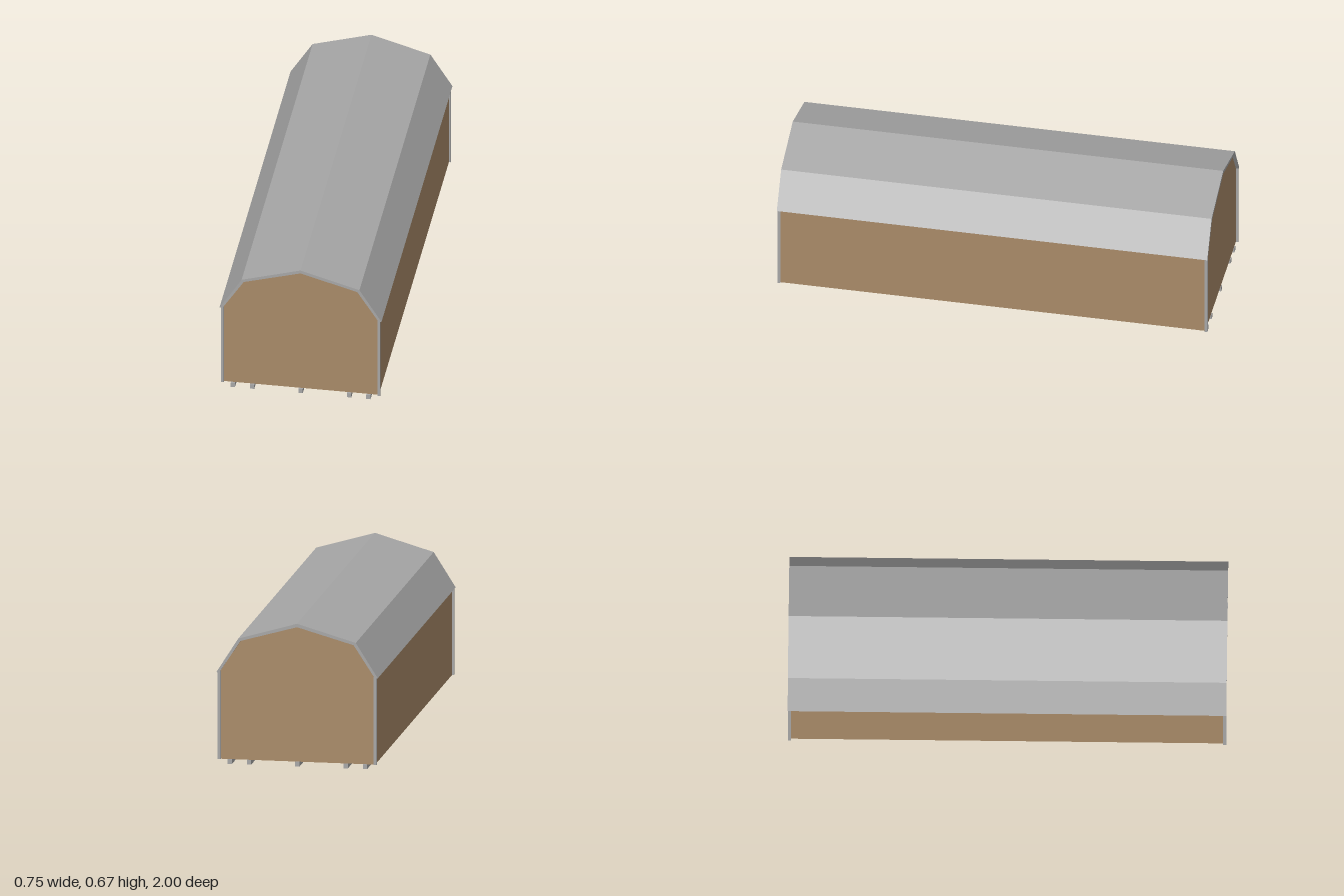
import * as THREE from 'three';

const SILL = 0.022; // wall base, on top of the skids
const WALL_X = 0.36, WALL_Z = 0.988;

export function createModel() {
  const siding = new THREE.MeshStandardMaterial({ color: 0xa88a68, side: THREE.DoubleSide });
  siding.name = 'tan siding';
  const metal = new THREE.MeshStandardMaterial({ color: 0xa6a6a6 });
  metal.name = 'grey metal';

  const model = new THREE.Group();
  model.name = 'gambrelShed';
  const add = (name, geometry, material, x = 0, y = 0, z = 0) => {
    const mesh = new THREE.Mesh(geometry, material);
    mesh.name = name;
    mesh.position.set(x, y, z);
    model.add(mesh);
    return mesh;
  };
  const shapeOf = (points) => new THREE.Shape(points.map(([x, y]) => new THREE.Vector2(x, y)));
  const mirrorX = (points) => points.map(([x, y]) => [-x, y]).reverse();

  // Gambrel roof: a bent shell, from right eave over the ridge to the left eave
  const outer = [[0.374, 0.427], [0.272, 0.588], [0, 0.667]];
  const inner = [[0.36, 0.427], [0.262, 0.577], [0, 0.651]];
  const outerLine = [...outer, ...mirrorX(outer).slice(1)];
  const innerLine = [...inner, ...mirrorX(inner).slice(1)];
  add('roof', new THREE.ExtrudeGeometry(
    shapeOf([...outerLine, ...innerLine.slice().reverse()]),
    { depth: 2, bevelEnabled: false }), metal, 0, 0, -1);

  // Tan lining on the underside of each roof slope
  for (let i = 0; i < innerLine.length - 1; i++) {
    const [x0, y0] = innerLine[i], [x1, y1] = innerLine[i + 1];
    const lining = add('roofLining',
      new THREE.PlaneGeometry(Math.hypot(x1 - x0, y1 - y0), WALL_Z * 2).rotateX(-Math.PI / 2),
      siding, (x0 + x1) / 2, (y0 + y1) / 2 - 0.002, 0);
    lining.rotation.z = Math.atan2(y1 - y0, x1 - x0);
  }

  // Gable ends and side walls: thin sheets, open underneath
  const gable = new THREE.ShapeGeometry(shapeOf([[WALL_X, SILL], ...innerLine, [-WALL_X, SILL]]));
  const wall = new THREE.PlaneGeometry(WALL_Z * 2, 0.427 - SILL).rotateY(Math.PI / 2);
  for (const s of [1, -1]) {
    add(s > 0 ? 'frontGable' : 'backGable', gable, siding, 0, 0, s * WALL_Z);
    add(s > 0 ? 'leftWall' : 'rightWall', wall, siding, s * WALL_X, (0.427 + SILL) / 2, 0);
  }

  // Corner trim posts
  const post = new THREE.BoxGeometry(0.013, 0.41, 0.014);
  for (const sx of [1, -1]) for (const sz of [1, -1]) {
    add('cornerTrim', post, metal, sx * 0.3615, SILL + 0.205, sz * 0.992);
  }

  // Skids running the full length beneath
  const skid = new THREE.BoxGeometry(0.02, SILL, 1.99);
  for (const x of [-0.313, -0.224, 0, 0.224, 0.313]) {
    add('skid', skid, metal, x, SILL / 2, 0.003);
  }
  return model;
}
